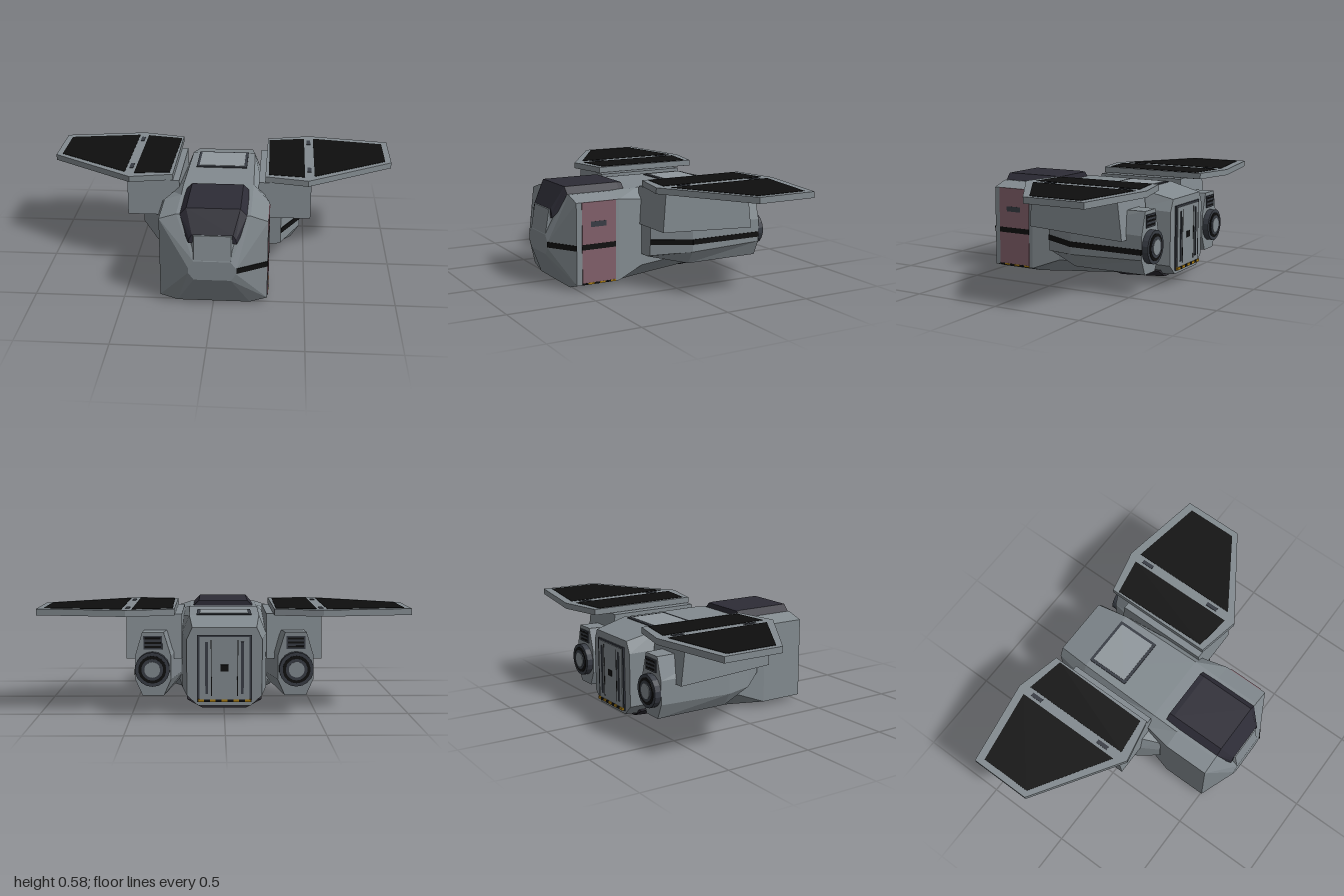
import * as THREE from 'three';

const mat = (name, color, double) => {
  const m = new THREE.MeshStandardMaterial({ color });
  m.name = name;
  m.flatShading = true;
  if (double) m.side = THREE.DoubleSide;
  return m;
};

export function createModel() {
  const hullGrey = mat('hull grey', 0x828a8f);
  const paleGrey = mat('pale grey', 0x90989d);
  const darkGrey = mat('dark grey', 0x383c44);
  const glass = mat('canopy glass', 0x2d2c36);
  const black = mat('black', 0x0e0e0e);
  const doorRed = mat('door red', 0x82606a);
  const yellow = mat('warning yellow', 0xa87c12);
  const belly = mat('belly dark', 0x2b2930);

  const model = new THREE.Group();
  model.name = 'shuttle';

  const add = (name, geometry, material, x = 0, y = 0, z = 0) => {
    const mesh = new THREE.Mesh(geometry, material);
    mesh.name = name;
    mesh.position.set(x, y, z);
    model.add(mesh);
    return mesh;
  };
  const box = (name, material, w, h, d, x, y, z) =>
    add(name, new THREE.BoxGeometry(w, h, d), material, x, y, z);

  // Skin between cross-sections [z, ring], front to back; rings run counter-clockwise from the front
  const loft = (sections, side = 1) => {
    const rings = sections.map(([z, ring]) => {
      const r = ring.map(([x, y]) => new THREE.Vector3(side * x, y, z));
      return side < 0 ? r.reverse() : r;
    });
    const pts = [];
    const n = rings[0].length;
    for (let k = 0; k < rings.length - 1; k++) {
      const a = rings[k], b = rings[k + 1];
      for (let i = 0; i < n; i++) {
        const j = (i + 1) % n;
        pts.push(a[i], b[i], b[j], a[i], b[j], a[j]);
      }
    }
    const first = rings[0], last = rings[rings.length - 1];
    for (let i = 1; i < n - 1; i++) {
      pts.push(first[0], first[i], first[i + 1], last[0], last[i + 1], last[i]);
    }
    const g = new THREE.BufferGeometry().setFromPoints(pts);
    g.computeVertexNormals();
    return g;
  };
  // Symmetric ring from its right half, listed bottom to top
  const sym = half => [...half, ...half.slice().reverse().map(([x, y]) => [-x, y])];

  // Flat outline in x and z, with its top at the given height
  const slab = (points, depth, side) => {
    const shape = new THREE.Shape(points.map(([x, z]) => new THREE.Vector2(side * x, z)));
    return new THREE.ExtrudeGeometry(shape, { depth, bevelEnabled: false }).rotateX(Math.PI / 2);
  };
  // Thin upright strip between two points in x and z
  const strip = (name, material, [x1, z1], [x2, z2], y, h) => {
    const m = box(name, material, 0.006, h, Math.hypot(x2 - x1, z2 - z1), (x1 + x2) / 2, y, (z1 + z2) / 2);
    m.rotation.y = Math.atan2(x2 - x1, z2 - z1);
  };

  // Hull
  add('hull', loft([
    [0.61, sym([[0.10, 0.18], [0.13, 0.22], [0.13, 0.25], [0.10, 0.29]])],
    [0.51, sym([[0.2, 0], [0.295, 0.03], [0.295, 0.49], [0.2, 0.52]])],
    [0.25, sym([[0.2, 0], [0.295, 0.03], [0.295, 0.49], [0.2, 0.52]])],
    [0.09, sym([[0.18, 0.012], [0.262, 0.09], [0.262, 0.47], [0.2, 0.528]])],
    [-0.4, sym([[0.15, 0.05], [0.23, 0.13], [0.23, 0.43], [0.19, 0.53]])],
    [-0.59, sym([[0.14, 0.065], [0.2, 0.12], [0.2, 0.42], [0.17, 0.485]])],
  ]), hullGrey);

  // Nose cowl and canopy
  add('noseCowl', loft([
    [0.608, sym([[0.1, 0.28], [0.1, 0.295]])],
    [0.585, sym([[0.11, 0.28], [0.10, 0.43]])],
    [0.49, sym([[0.2, 0.28], [0.18, 0.48]])],
  ]), hullGrey);
  add('canopy', loft([
    [0.58, sym([[0.13, 0.385], [0.125, 0.41], [0.11, 0.435]])],
    [0.51, sym([[0.18, 0.47], [0.18, 0.52], [0.145, 0.558]])],
    [0.19, sym([[0.18, 0.47], [0.18, 0.52], [0.145, 0.558]])],
    [0.16, sym([[0.18, 0.47], [0.18, 0.52], [0.145, 0.555]])],
  ]), glass);

  // Roof hatch
  box('hatchFrame', darkGrey, 0.3, 0.01, 0.25, 0, 0.53, -0.278);
  box('hatch', paleGrey, 0.268, 0.009, 0.218, 0, 0.533, -0.278);

  // Belly fairing
  add('bellyFairing', loft([
    [-0.09, sym([[0.1, 0.045], [0.13, 0.055]])],
    [-0.25, sym([[0.12, 0.02], [0.215, 0.095]])],
    [-0.52, sym([[0.12, 0.04], [0.2, 0.085]])],
  ]), belly);

  // Side door on the left with its stripe, window and warning edge
  box('sideDoor', doorRed, 0.008, 0.455, 0.205, 0.295, 0.263, 0.375);
  box('doorStripe', black, 0.008, 0.03, 0.205, 0.2965, 0.242, 0.375);
  box('doorWindow', darkGrey, 0.008, 0.03, 0.095, 0.2965, 0.367, 0.378);
  for (let i = 0; i < 6; i++) {
    box('doorWarning', i % 2 ? yellow : black, 0.008, 0.01, 0.034, 0.2965, 0.036, 0.46 - i * 0.034);
  }
  strip('noseStripe', black, [0.131, 0.611], [0.296, 0.511], 0.24, 0.03);

  // Rear door
  box('rearDoorFrame', darkGrey, 0.29, 0.36, 0.012, 0, 0.265, -0.592);
  box('rearDoor', hullGrey, 0.264, 0.335, 0.012, 0, 0.268, -0.596);
  for (const x of [-0.095, 0.095]) box('rearDoorBar', darkGrey, 0.014, 0.28, 0.009, x, 0.27, -0.601);
  for (const x of [-0.07, 0.07]) box('rearDoorSeam', black, 0.005, 0.3, 0.005, x, 0.27, -0.601);
  box('rearDoorWindow', black, 0.04, 0.035, 0.006, 0, 0.27, -0.602);
  for (let i = 0; i < 9; i++) {
    box('rearWarning', i % 2 ? black : yellow, 0.031, 0.014, 0.018, -0.124 + i * 0.031, 0.094, -0.6);
  }

  // Engine ring: inner, outer, bottom, lower crease, upper crease, top
  const engineRing = (xi, xo, yb, yc, yu, yt) => {
    const d = (xo - xi) * 0.2;
    return [[xi + d, yb], [xo - d, yb], [xo, yc], [xo, yu], [xo - d, yt], [xi + d, yt], [xi, yu], [xi, yc]];
  };
  const outline = [[0.265, 0.09], [0.265, -0.55], [0.52, -0.61], [1, -0.53], [1, -0.18], [0.51, 0.14]];
  const panels = [
    [[0.285, 0.06], [0.275, -0.515], [0.49, -0.555], [0.49, 0.085]],
    [[0.545, 0.07], [0.545, -0.56], [0.965, -0.49], [0.965, -0.195]],
  ];

  for (const s of [1, -1]) {
    // Wing with dark panels above and below
    add('wing', slab(outline, 0.034, s), hullGrey, 0, 0.577, 0);
    for (const p of panels) {
      add('wingPanelTop', slab(p, 0.003, s), black, 0, 0.579, 0);
      add('wingPanelBottom', slab(p, 0.003, s), black, 0, 0.544, 0);
    }
    for (const z of [-0.485, -0.025]) box('wingHinge', darkGrey, 0.022, 0.006, 0.07, s * 0.517, 0.577, z);

    // Pylon block under the wing
    const side = new THREE.Shape([[0.105, 0.33], [0.09, 0.54], [-0.44, 0.54], [-0.47, 0.3]]
      .map(([z, y]) => new THREE.Vector2(z, y)));
    const pylon = new THREE.ExtrudeGeometry(side, { depth: 0.3, bevelEnabled: false }).rotateY(-Math.PI / 2);
    add('wingPylon', pylon, hullGrey, s > 0 ? 0.528 : -0.228, 0, 0);

    // Engine pod, with a longer nose on the right
    const pod = [
      [0.09, engineRing(0.2, 0.36, 0.155, 0.165, 0.33, 0.42)],
      [-0.12, engineRing(0.22, 0.47, 0.11, 0.185, 0.34, 0.45)],
      [-0.56, engineRing(0.285, 0.475, 0.115, 0.2, 0.33, 0.455)],
    ];
    if (s < 0) pod.unshift([0.2, engineRing(0.2, 0.295, 0.2, 0.22, 0.33, 0.4)]);
    add('enginePod', loft(pod, s), hullGrey);

    // Exhaust nozzle: rings stepping towards the centre
    const nozzle = [[0.092, darkGrey, 0.04, -0.575], [0.074, black, 0.004, -0.596],
      [0.058, darkGrey, 0.006, -0.597], [0.042, hullGrey, 0.006, -0.6]];
    for (const [r, m, d, z] of nozzle) {
      add('nozzle', new THREE.CylinderGeometry(r, r, d, 18).rotateX(Math.PI / 2), m, s * 0.382, 0.26, z);
    }

    // Vent above the nozzle
    box('vent', darkGrey, 0.1, 0.07, 0.009, s * 0.38, 0.4, -0.562);
    for (let i = 0; i < 3; i++) box('ventSlot', black, 0.085, 0.01, 0.009, s * 0.38, 0.378 + i * 0.022, -0.564);
  }

  // Stripe along the left engine pod
  strip('engineStripe', black, [0.361, 0.09], [0.471, -0.12], 0.242, 0.03);
  strip('engineStripe', black, [0.471, -0.12], [0.476, -0.56], 0.242, 0.03);

  return model;
}
